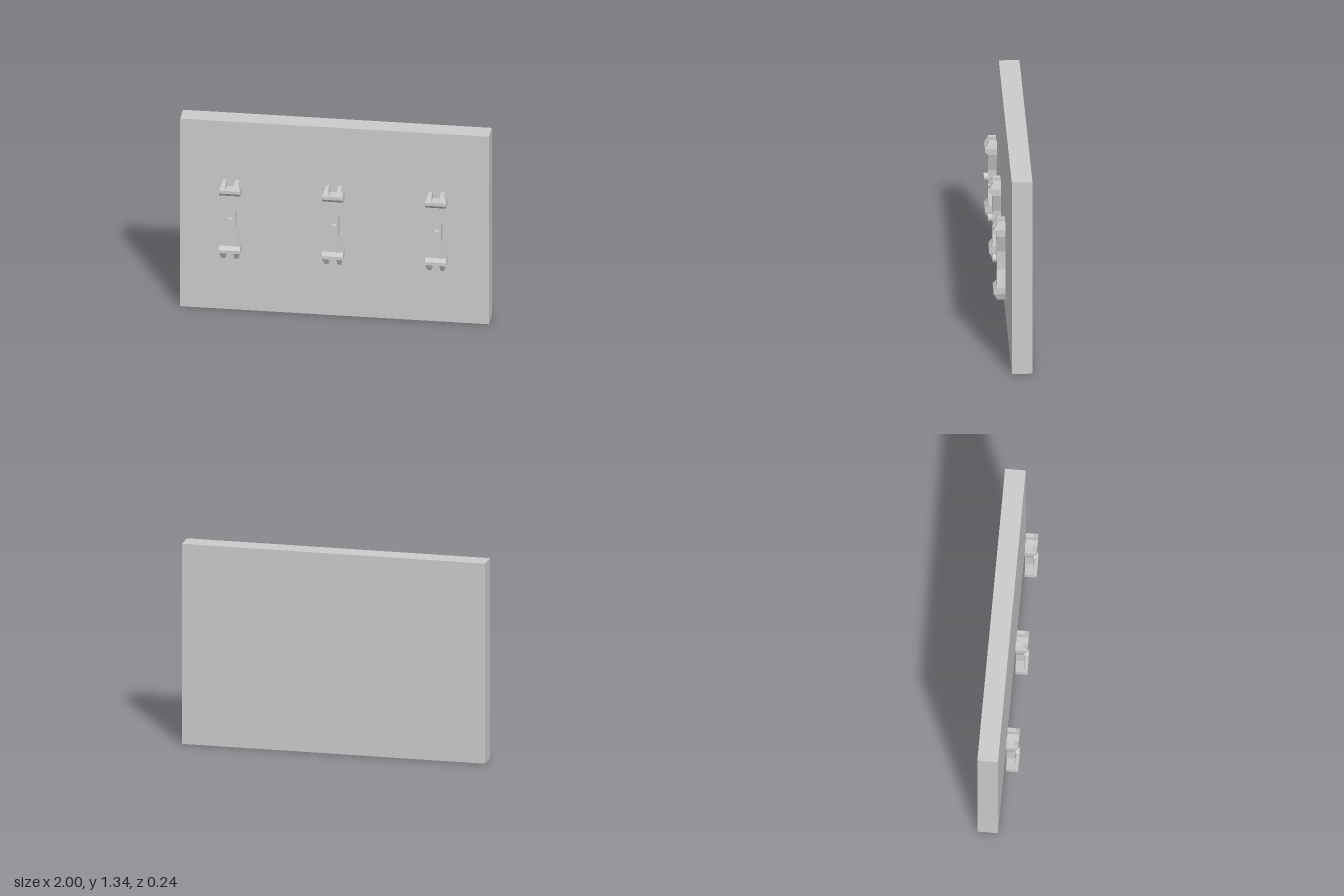
import * as THREE from 'three';

const material = new THREE.MeshStandardMaterial({ color: 0xcccccc, flatShading: true });
const MID_Y = 0.6675;
const BACK_Z = 0.04;

function addMesh(parent, name, geometry, x = 0, y = 0, z = 0) {
  const mesh = new THREE.Mesh(geometry, material);
  mesh.name = name;
  mesh.position.set(x, y, z);
  parent.add(mesh);
  return mesh;
}

// Solid through rectangular sections, listed upwards as [y, xMin, xMax, zFront]
function loft(sections) {
  const points = [], index = [];
  const quad = (a, b, c, d) => index.push(a, b, c, a, c, d);
  sections.forEach(([y, x0, x1, z]) =>
    points.push(x0, y, BACK_Z, x0, y, z, x1, y, z, x1, y, BACK_Z));
  for (let i = 0; i < sections.length - 1; i++) {
    for (let k = 0; k < 4; k++) {
      const a = i * 4 + k, b = i * 4 + (k + 1) % 4;
      quad(a, b, b + 4, a + 4);
    }
  }
  const t = (sections.length - 1) * 4;
  quad(0, 3, 2, 1);
  quad(t, t + 1, t + 2, t + 3);
  const indexed = new THREE.BufferGeometry();
  indexed.setAttribute('position', new THREE.Float32BufferAttribute(points, 3));
  indexed.setIndex(index);
  const geometry = indexed.toNonIndexed();
  geometry.computeVertexNormals();
  return geometry;
}

function createCleat() {
  const cleat = new THREE.Group();
  cleat.name = 'cleat';

  // Waisted body with a raised ridge at each end: [distance from middle, half width, front z]
  const half = [
    [0.06, 0.035, 0.095],
    [0.178, 0.068, 0.095],
    [0.201, 0.068, 0.117],
    [0.2225, 0.068, 0.117],
  ];
  const upper = half.map(([d, w, z]) => [d, -w, w, z]);
  const lower = upper.map(([d, ...rest]) => [-d, ...rest]).reverse();
  addMesh(cleat, 'body', loft([...lower, ...upper]));

  // Tapered prongs either side of the end notches
  for (const end of [1, -1]) {
    for (const side of [1, -1]) {
      const span = (w) => (side > 0 ? [0.027, w] : [-w, -0.027]);
      const prong = [
        [end * 0.2225, ...span(0.068), 0.117],
        [end * 0.2675, ...span(0.053), 0.091],
      ];
      if (end < 0) prong.reverse();
      addMesh(cleat, 'prong', loft(prong));
    }
  }

  // Round stud in the middle
  const stud = new THREE.CylinderGeometry(0.026, 0.026, 0.032, 24).rotateX(Math.PI / 2);
  const studMesh = addMesh(cleat, 'stud', stud, 0, 0, 0.106);
  studMesh.material = material.clone();
  studMesh.material.flatShading = false;
  return cleat;
}

export function createModel() {
  const model = new THREE.Group();
  model.name = 'panelWithCleats';

  // Wall panel
  addMesh(model, 'panel', new THREE.BoxGeometry(2, 1.335, 0.133), 0, MID_Y, -0.0555);

  // Row of three cleats floating just in front of the panel
  for (const x of [-0.667, 0, 0.667]) {
    const cleat = createCleat();
    cleat.position.set(x, MID_Y, 0);
    model.add(cleat);
  }
  return model;
}
